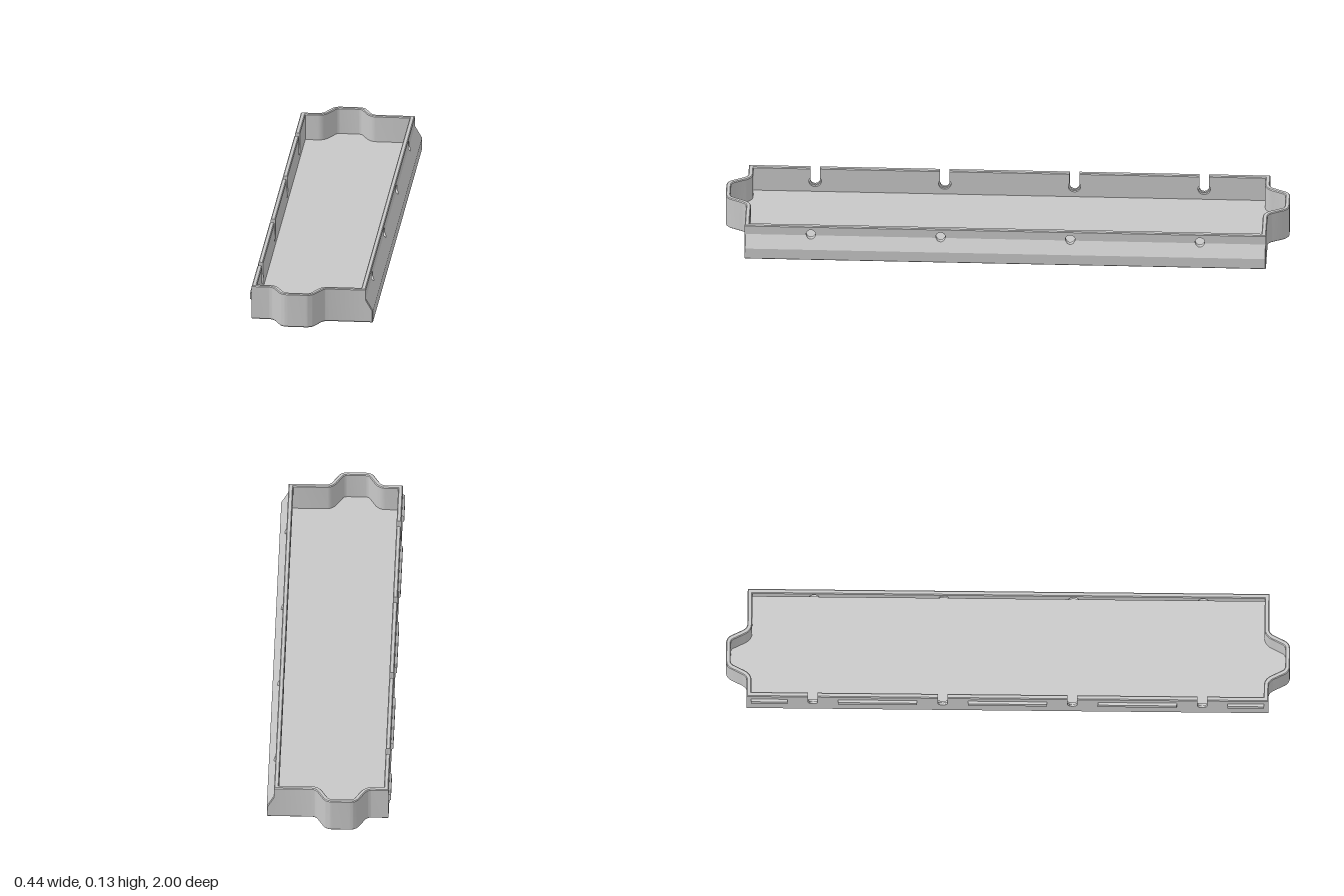
import * as THREE from 'three';
import { toCreasedNormals } from 'three/addons/utils/BufferGeometryUtils.js';

const LEFT = -0.213, LEDGE = 0.193, RIGHT = 0.219;   // tray sides in x
const END = 0.925, TOP = 0.128, LOW = 0.004;         // end walls in z, heights in y
const FLOOR = 0.032, WALL = 0.017, BEVEL = 0.003;
const KINK = 0.092, SKIRT = 0.047;                   // heights where the right wall bends
const HOLES = [-0.69, -0.23, 0.23, 0.69];

const v = (x, y) => new THREE.Vector2(x, y);

// Extrusion of exact total depth, with optional chamfers on both caps
function extrude(shape, depth, bevel = 0) {
  const g = new THREE.ExtrudeGeometry(shape, {
    depth: depth - 2 * bevel, bevelEnabled: bevel > 0, bevelThickness: bevel,
    bevelSize: bevel, bevelSegments: 1, curveSegments: 16,
  });
  return g.translate(0, 0, bevel);
}

// Plan shape (x, z) raised from y0 to y1
function slab(points, y0, y1, bevel = 0) {
  const shape = new THREE.Shape(offset(points, bevel, true));
  return extrude(shape, y1 - y0, bevel).rotateX(Math.PI / 2).translate(0, y1, 0);
}

// Side shape (z, y) given thickness towards -x from x
function panel(shape, x, thickness) {
  return extrude(shape, thickness).rotateY(-Math.PI / 2).translate(x, 0, 0);
}

// Counterclockwise section (x, y) run along z
function prism(section, z0, z1, bevel = 0) {
  const points = offset(section.map(p => v(...p)), -bevel, true);
  return extrude(new THREE.Shape(points), z1 - z0, bevel).translate(0, 0, z0);
}

// Mitred offset of a polyline, to the right of its direction of travel
function offset(pts, d, closed = false) {
  const n = pts.length;
  const normal = (a, b) => v(b.y - a.y, a.x - b.x).normalize();
  return pts.map((p, i) => {
    const prev = closed ? pts[(i + n - 1) % n] : pts[i - 1];
    const next = closed ? pts[(i + 1) % n] : pts[i + 1];
    const a = prev ? normal(prev, p) : normal(p, next);
    const b = next ? normal(p, next) : a;
    const m = a.clone().add(b);
    return p.clone().addScaledVector(m, d / (1 + a.dot(b)));
  });
}

// Front edge from left to right with its rounded bump
function endLine(right) {
  const c = -0.046;
  const path = new THREE.Path();
  path.moveTo(LEFT, END);
  path.lineTo(c - 0.106, END);
  path.quadraticCurveTo(c - 0.092, END, c - 0.083, 0.942);
  path.lineTo(c - 0.063, 0.982);
  path.quadraticCurveTo(c - 0.053, 1, c - 0.03, 1);
  path.lineTo(c + 0.03, 1);
  path.quadraticCurveTo(c + 0.053, 1, c + 0.063, 0.982);
  path.lineTo(c + 0.083, 0.942);
  path.quadraticCurveTo(c + 0.092, END, c + 0.106, END);
  path.lineTo(right, END);
  return path.getPoints(8);
}

const flipZ = pts => pts.map(p => v(p.x, -p.y));

// Left wall layer with slots open at the rim, each ending in a round seat
function slottedShape(r, seat, seatY) {
  const z = END - BEVEL, top = TOP - BEVEL, b = Math.acos(r / seat);
  const s = new THREE.Shape();
  s.moveTo(-z, LOW + BEVEL);
  s.lineTo(z, LOW + BEVEL);
  s.lineTo(z, top);
  for (const c of [...HOLES].reverse()) {
    s.lineTo(c + r, top);
    s.absarc(c, seatY, seat, b, Math.PI - b, true);
    s.lineTo(c - r, top);
  }
  s.lineTo(-z, top);
  return s;
}

export function createModel() {
  const group = new THREE.Group();
  const grey = new THREE.MeshStandardMaterial({ color: 0xc8c8c8 });
  grey.name = 'grey';
  const add = (name, geometry) => {
    const mesh = new THREE.Mesh(toCreasedNormals(geometry, 0.5), grey);
    mesh.name = name;
    group.add(mesh);
  };

  // Floor and the slightly smaller plate beneath it
  const front = endLine(RIGHT);
  const outline = [...front, ...flipZ(front).reverse()];
  add('floor', slab(offset(outline, 0.001, true), LOW, FLOOR, BEVEL));
  add('basePlate', slab(offset(outline, 0.018, true), 0, LOW + 0.001));

  // End walls with bumps, and the cheeks closing the flared right wall
  const edge = endLine(LEDGE);
  const ring = [...edge, ...offset(edge, WALL).reverse()];
  add('frontWall', slab(ring, LOW, TOP, BEVEL));
  add('backWall', slab(flipZ(ring).reverse(), LOW, TOP, BEVEL).scale(1, 1, 1));
  const cheek = [[0.165, LOW], [RIGHT - BEVEL, LOW], [RIGHT, LOW + BEVEL], [RIGHT, SKIRT],
    [LEDGE, KINK], [LEDGE, TOP - BEVEL], [LEDGE - BEVEL, TOP], [0.165, TOP]];
  add('frontCheek', prism(cheek, END - WALL, END, BEVEL));
  add('backCheek', prism(cheek, -END, -END + WALL, BEVEL));

  // Left wall in two layers: plain slots outside, wider round seats inside
  const r = 0.017, slotY = 0.074;
  add('leftWallOuter', panel(slottedShape(r, r, slotY), LEFT + WALL / 2, WALL / 2));
  add('leftWallInner', panel(slottedShape(r, 0.022, slotY), LEFT + WALL, WALL / 2));

  // Chamfered rim of the left wall, between the slots
  const rim = [[LEFT, TOP - BEVEL], [LEFT + WALL, TOP - BEVEL],
    [LEFT + WALL - BEVEL, TOP], [LEFT + BEVEL, TOP]];
  const stops = [-END + BEVEL, ...HOLES, END - BEVEL];
  for (let i = 0; i < 5; i++) {
    add('leftRim', prism(rim, stops[i] + (i > 0 ? r : 0), stops[i + 1] - (i < 4 ? r : 0)));
  }

  // Raised ribs outside the left wall
  const rib = [[LEFT + 0.003, 0.102], [-0.221, 0.094], [-0.221, 0.075], [LEFT + 0.003, 0.067]];
  for (const [z, length] of [[-0.845, 0.13], [-0.46, 0.28], [0, 0.28], [0.46, 0.28], [0.845, 0.13]]) {
    add('sideRib', prism(rib, z - length / 2, z + length / 2));
  }

  // Right wall: upright strip, flared strip and skirt, with round holes across the bend
  const holeY = 0.097, a = Math.asin((holeY - KINK) / r), dx = r * Math.cos(a), L = END - 2 * BEVEL;
  const upper = new THREE.Shape();
  upper.moveTo(-L, KINK);
  for (const c of HOLES) {
    upper.lineTo(c - dx, KINK);
    upper.absarc(c, holeY, r, Math.PI + a, -a, true);
  }
  upper.lineTo(L, KINK);
  upper.lineTo(L, TOP - BEVEL);
  upper.lineTo(-L, TOP - BEVEL);
  add('rightWall', panel(upper, LEDGE, WALL));

  const flare = new THREE.Shape();
  flare.moveTo(-L, SKIRT);
  flare.lineTo(L, SKIRT);
  flare.lineTo(L, KINK);
  for (const c of [...HOLES].reverse()) {
    flare.lineTo(c + dx, KINK);
    flare.absarc(c, holeY, r, -a, Math.PI + a, true);
  }
  flare.lineTo(-L, KINK);
  const flared = panel(flare, LEDGE, WALL);
  const pos = flared.attributes.position;
  for (let i = 0; i < pos.count; i++) {
    const t = (KINK - pos.getY(i)) / (KINK - SKIRT);
    pos.setX(i, pos.getX(i) + t * (RIGHT - LEDGE));
  }
  add('rightFlare', flared);

  add('rightSkirt', prism([[RIGHT - WALL, LOW], [RIGHT - BEVEL, LOW], [RIGHT, LOW + BEVEL],
    [RIGHT, SKIRT], [RIGHT - WALL, SKIRT]], -L, L));
  add('rightRim', prism([[LEDGE - WALL, TOP - BEVEL], [LEDGE, TOP - BEVEL],
    [LEDGE - BEVEL, TOP], [LEDGE - WALL + BEVEL, TOP]], -L, L));

  return group;
}
